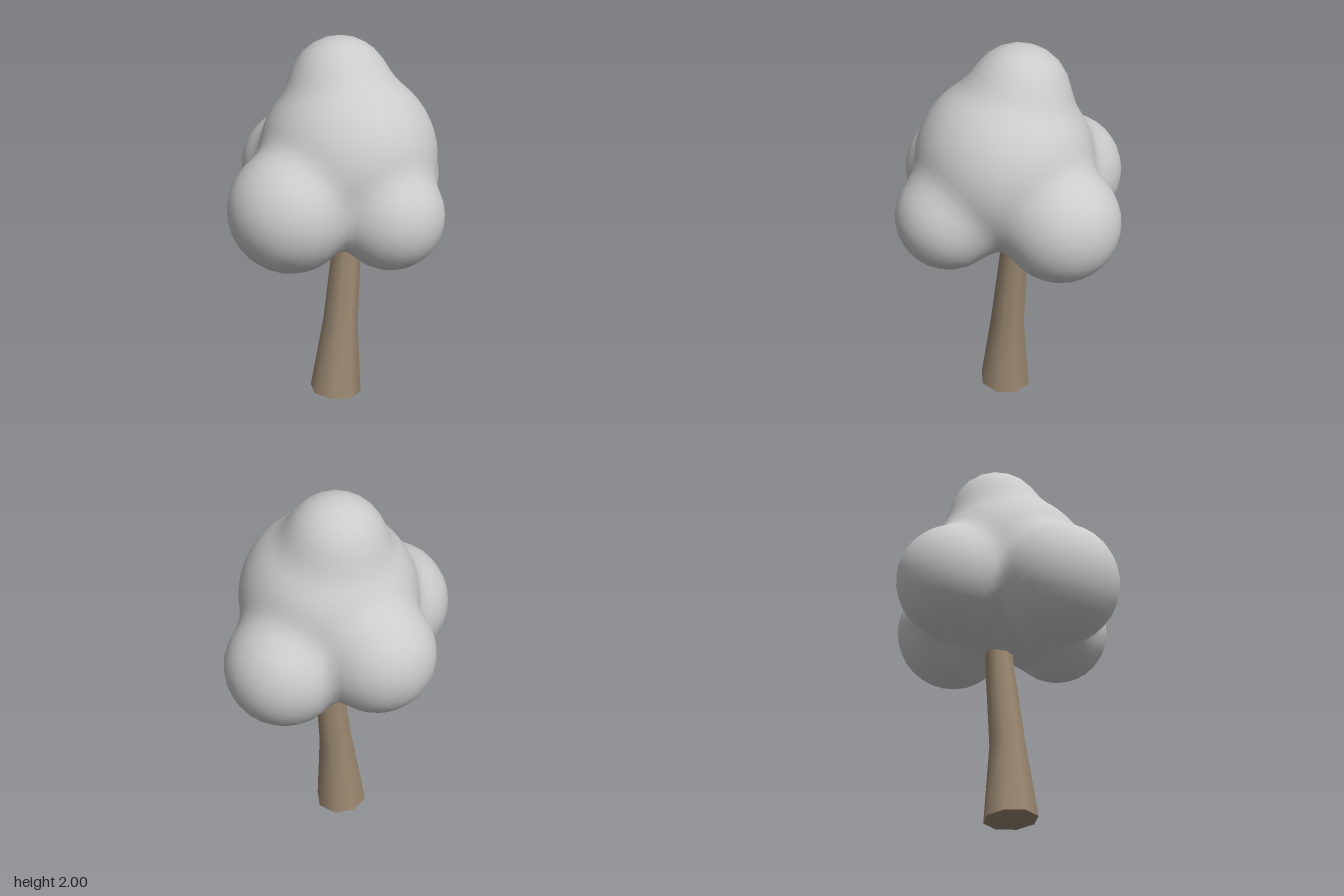
import * as THREE from 'three';
import { mergeVertices, toCreasedNormals } from 'three/addons/utils/BufferGeometryUtils.js';

// Foliage lobes: x, y, z, radius
const LOBES = [
  [0.03, 1.39, 0.04, 0.46], // core
  [0.035, 1.74, -0.04, 0.26], // crown
  [-0.36, 1.2, 0.09, 0.32], // right lobe
  [0.37, 1.16, -0.11, 0.305], // left lobe
  [0.06, 1.16, 0.365, 0.275], // front lobe
  [-0.03, 1.24, -0.34, 0.3], // back lobe
];
const BLEND = 0.07;

// Distance to the softly blended union of the lobes
function foliageDistance(p) {
  let d = Infinity;
  for (const [x, y, z, r] of LOBES) {
    const s = Math.hypot(p.x - x, p.y - y, p.z - z) - r;
    if (d === Infinity) { d = s; continue; }
    const h = Math.max(BLEND - Math.abs(d - s), 0) / BLEND;
    d = Math.min(d, s) - h * h * BLEND * 0.25;
  }
  return d;
}

// Ball whose vertices are pulled onto the blended lobes
function foliageGeometry() {
  let geo = new THREE.IcosahedronGeometry(1, 11);
  geo.deleteAttribute('uv');
  geo.deleteAttribute('normal');
  geo = mergeVertices(geo, 1e-4);
  const centre = new THREE.Vector3(0.01, 1.27, 0.01);
  const pos = geo.attributes.position;
  const dir = new THREE.Vector3();
  const p = new THREE.Vector3();
  for (let i = 0; i < pos.count; i++) {
    dir.fromBufferAttribute(pos, i).normalize();
    let t = 1.1;
    for (let n = 0; n < 80; n++) {
      const d = foliageDistance(p.copy(centre).addScaledVector(dir, t));
      if (d < 0.0005) break;
      t -= d;
    }
    pos.setXYZ(i, p.x, p.y, p.z);
  }
  geo.computeVertexNormals();
  return geo;
}

// Leaning, tapering trunk: y, centre x, centre z, radius x, radius z
const RINGS = [
  [1.1, 0.075, -0.005, 0.07, 0.07],
  [0.88, 0.058, -0.005, 0.077, 0.075],
  [0.43, 0.005, 0.01, 0.096, 0.092],
  [0.015, -0.028, 0.01, 0.14, 0.14],
];

function trunkGeometry() {
  const geo = new THREE.CylinderGeometry(1, 1, 1, 8, RINGS.length - 1);
  const pos = geo.attributes.position;
  for (let i = 0; i < pos.count; i++) {
    const [y, cx, cz, rx, rz] = RINGS[Math.round((0.5 - pos.getY(i)) * (RINGS.length - 1))];
    const x = pos.getX(i) * rx;
    // rings tilt with the lean
    pos.setXYZ(i, cx + x, y - x * 0.1, cz + pos.getZ(i) * rz);
  }
  return toCreasedNormals(geo, Math.PI / 3);
}

export function createModel() {
  const tree = new THREE.Group();
  tree.name = 'tree';

  const foliage = new THREE.Mesh(foliageGeometry(), new THREE.MeshStandardMaterial({ color: 0xcccccc }));
  foliage.name = 'foliage';

  const trunk = new THREE.Mesh(trunkGeometry(), new THREE.MeshStandardMaterial({ color: 0x9b8871 }));
  trunk.name = 'trunk';

  tree.add(foliage, trunk);
  return tree;
}
